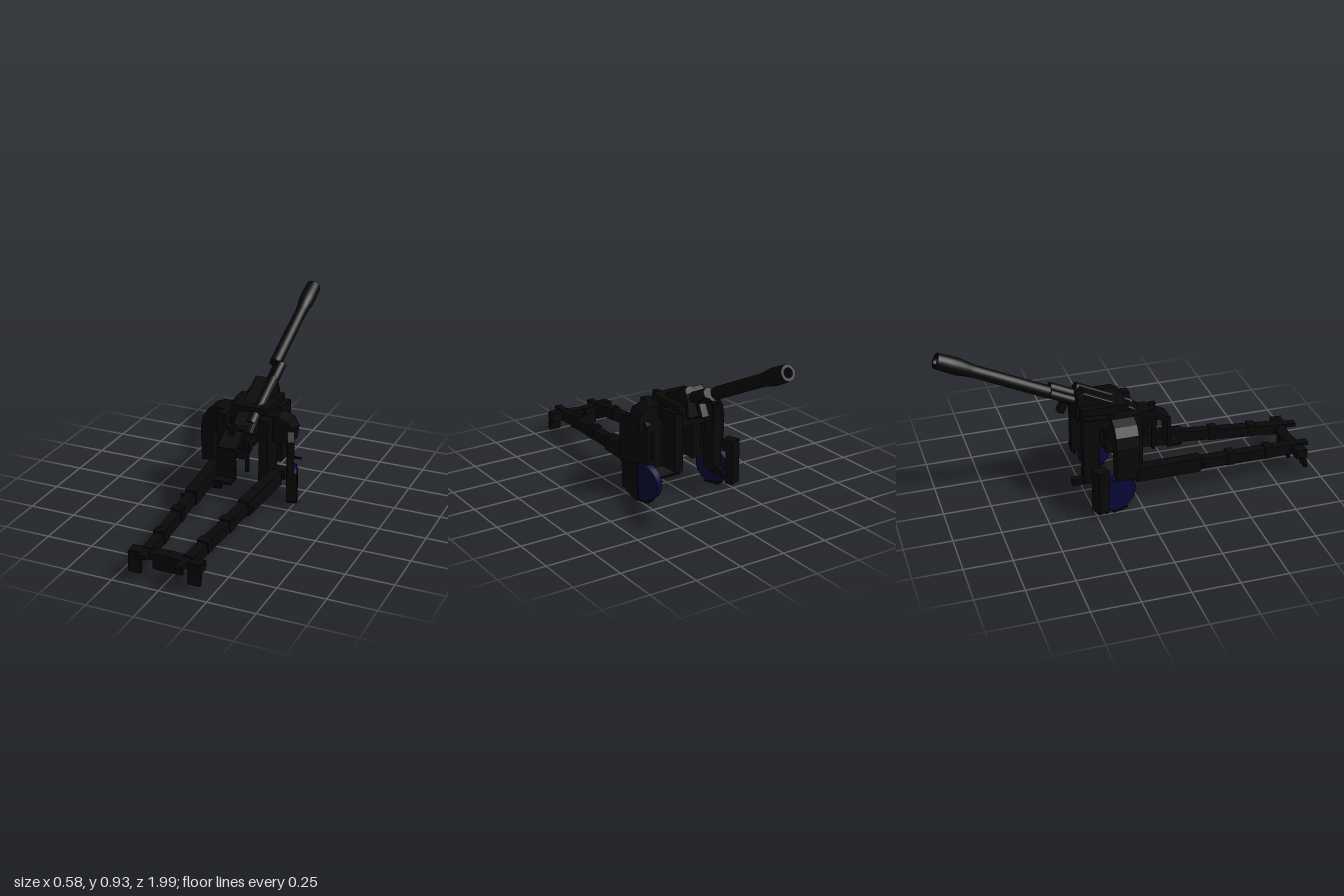
import * as THREE from 'three';

export function createModel() {
  const root = new THREE.Group();
  const steel = new THREE.MeshStandardMaterial({ color: 0x080808, side: THREE.DoubleSide });
  steel.name = 'black steel';
  const blue = new THREE.MeshStandardMaterial({ color: 0x07073a });
  blue.name = 'dark blue';

  const add = (name, geo, mat = steel, parent = root) => {
    const m = new THREE.Mesh(geo, mat);
    m.name = name;
    parent.add(m);
    return m;
  };
  // box given by its limits on each axis
  const box = (name, x0, x1, y0, y1, z0, z1, parent = root) => {
    const m = add(name, new THREE.BoxGeometry(x1 - x0, y1 - y0, z1 - z0), steel, parent);
    m.position.set((x0 + x1) / 2, (y0 + y1) / 2, (z0 + z1) / 2);
    return m;
  };
  // bar of width w and height h between two points
  const beam = (name, a, b, w, h) => {
    const p = new THREE.Vector3(...a), q = new THREE.Vector3(...b);
    const m = add(name, new THREE.BoxGeometry(w, h, p.distanceTo(q)));
    m.position.copy(p).lerp(q, 0.5);
    m.lookAt(q);
    return m;
  };
  const lathe = (pts) => {
    const g = new THREE.LatheGeometry(pts.map((p) => new THREE.Vector2(...p)), 20);
    return g.rotateX(-Math.PI / 2);
  };
  // flat plate cut from an outline
  const plate = (pts, depth) => new THREE.ExtrudeGeometry(
    new THREE.Shape(pts.map((p) => new THREE.Vector2(...p))), { depth, bevelEnabled: false });

  // elevating gun: local -z runs along the barrel
  const gun = new THREE.Group();
  gun.name = 'gun';
  gun.position.set(-0.008, 0.424, 0);
  gun.rotation.x = 0.447;
  root.add(gun);
  add('barrel', lathe([[0, 0.475], [0.033, 0.475], [0.033, 0.475], [0.032, 0.88], [0.036, 0.92],
    [0.043, 0.97], [0.043, 1.02], [0.04, 1.09], [0.04, 1.09], [0.024, 1.09], [0.024, 1.09], [0.022, 1.0], [0, 1.0]]), steel, gun);
  const side = new THREE.Shape([[0.05, -0.05], [0.05, 0.04], [-0.02, 0.054], [-0.31, 0.056], [-0.325, 0.03], [-0.29, -0.08], [-0.1, -0.11]]
    .map(([z, y]) => new THREE.Vector2(-z, y)));
  const cradle = add('cradle', new THREE.ExtrudeGeometry(side, {
    depth: 0.1, bevelEnabled: true, bevelSize: 0.008, bevelThickness: 0.012, bevelSegments: 2 }), steel, gun);
  cradle.rotation.y = Math.PI / 2;
  cradle.position.x = -0.03;
  const tube = (name, x, y, r, s0, s1) => {
    const m = add(name, lathe([[0, s0], [r, s0], [r, s0], [r, s1], [r, s1], [0, s1]]), steel, gun);
    m.position.set(x, y, 0);
  };
  tube('recoilCylinder', 0.04, 0.01, 0.027, 0.2, 0.465);
  tube('recuperator', 0.052, 0.04, 0.03, 0.0, 0.33);
  tube('cradleTube', 0.012, -0.012, 0.024, 0.25, 0.46);
  box('breech', -0.05, 0.05, -0.05, 0.045, 0.02, 0.1, gun);
  box('cradleLug', 0.01, 0.05, -0.1, -0.03, -0.375, -0.34, gun);

  // loading tray and hanging sight brackets behind the breech
  box('breechBlock', -0.06, 0.04, 0.36, 0.46, 0.04, 0.1);
  beam('trayTop', [-0.01, 0.44, 0.09], [-0.01, 0.385, 0.2], 0.1, 0.03);
  box('trayBack', -0.06, 0.04, 0.225, 0.395, 0.192, 0.21);
  box('trayFoot', -0.06, 0.04, 0.222, 0.238, 0.195, 0.265);
  for (const x of [-0.073, 0.065]) {
    box('sightBracket', x - 0.008, x + 0.008, 0.24, 0.4, 0.1, 0.12);
    box('bracketArm', x - 0.012, x + 0.012, 0.38, 0.42, 0.0, 0.125);
  }
  box('sight', -0.03, 0.0, 0.44, 0.48, 0.1, 0.135);

  // upper carriage posts
  box('trunnion', -0.088, 0.112, 0.42, 0.535, -0.28, -0.03);
  for (const s of [-1, 1]) {
    const inner = s * 0.118;
    box('rearPost', inner - 0.026, inner + 0.026, 0.15, 0.5, -0.1, 0.03);
    box('frontPost', inner - 0.024, inner + 0.024, s < 0 ? 0.14 : 0.19, 0.5, -0.288, s < 0 ? -0.2 : -0.165);
    beam('cheekRail', [inner, 0.455, 0.03], [inner, 0.475, -0.28], 0.04, 0.06);
    box('stubAxle', s < 0 ? -0.21 : 0.1, s < 0 ? -0.1 : 0.21, 0.15, 0.2, -0.1, -0.04);
  }
  box('frontFoot', -0.138, -0.105, 0.13, 0.165, -0.345, -0.22);
  box('sideRod', 0.1, 0.215, 0.17, 0.18, -0.275, -0.265);

  // right-hand leg is a straight arch, left-hand leg turns with its wheel
  const rightLeg = add('rightWheelLeg', plate([[-0.09, 0.46], [-0.11, 0.5], [-0.17, 0.505], [-0.22, 0.485], [-0.25, 0.44],
    [-0.262, 0.38], [-0.258, 0.19], [-0.195, 0.19], [-0.195, 0.365], [-0.14, 0.365], [-0.09, 0.38]], 0.12));
  rightLeg.position.z = -0.145;
  const arm = add('leftWheelArm', plate([[0.09, 0.38], [0.14, 0.365], [0.245, 0.365], [0.255, 0.44],
    [0.23, 0.485], [0.175, 0.505], [0.11, 0.5], [0.09, 0.46]], 0.1));
  arm.position.z = -0.13;
  const columnGeo = plate([[-0.085, 0.19], [0.085, 0.19], [0.085, 0.4], [0.055, 0.445], [-0.055, 0.455], [-0.085, 0.41]], 0.036);
  const column = add('leftWheelColumn', columnGeo.translate(0, 0, -0.018));
  column.rotation.y = -Math.PI / 2 + 0.4;
  column.position.set(0.234, 0, -0.062);

  // steered wheels
  const wheelUnit = (x) => {
    const hub = new THREE.Group();
    hub.name = 'wheelUnit';
    hub.position.set(x, 0.102, -0.125);
    hub.rotation.y = 0.36;
    root.add(hub);
    const wheel = add('wheel', new THREE.CylinderGeometry(0.1, 0.1, 0.042, 28), blue, hub);
    wheel.rotation.z = Math.PI / 2;
    const skid = add('skid', new THREE.BoxGeometry(0.05, 0.008, 0.09), steel, hub);
    skid.position.y = -0.098;
    return hub;
  };
  const leftHub = wheelUnit(0.222);
  const guard = add('wheelGuard', plate([[0.022, -0.1], [0.06, -0.09], [0.1, -0.05], [0.112, 0.02], [0.1, 0.1],
    [0.022, 0.1]], 0.008).rotateY(-Math.PI / 2), steel, leftHub);
  guard.position.x = 0.029;
  box('guardEnd', -0.03, 0.024, -0.05, 0.1, 0.098, 0.125, leftHub);
  const rightHub = wheelUnit(-0.212);
  box('guardBox', -0.03, 0.036, -0.075, 0.165, -0.14, -0.098, rightHub);
  box('guardFlange', -0.03, -0.021, -0.085, 0.165, -0.1, -0.075, rightHub);
  box('guardTop', -0.03, 0.03, 0.1, 0.165, -0.1, -0.07, rightHub);

  // split trails with clamps and a spade at each end
  for (const s of [-1, 1]) {
    const at = (t, dy = 0) => [s * (0.168 - 0.062 * t), 0.168 - 0.044 * t + dy, 0.03 + 0.88 * t];
    beam('trailRoot', at(-0.06), at(0.35), 0.06, 0.08);
    beam('trail', at(0.3), at(0.98), 0.05, 0.058);
    beam('trailTip', at(0.9, 0.012), at(s < 0 ? 1.07 : 1.088, 0.018), 0.04, 0.02);
    for (const t of [0.33, 0.55, 0.8]) {
      beam('clamp', at(t - 0.025, 0.005), at(t + 0.025, 0.005), 0.06, 0.076 - 0.012 * t);
    }
    box('trailPin', s * 0.17 - 0.03, s * 0.17 + 0.03, 0.15, 0.17, 0.34, 0.35);
    const x = s * 0.157;
    box('spadeBlock', x - 0.033, x + 0.033, 0.095, 0.14, 0.88, 0.94);
    const spade = box('spade', x - 0.033, x + 0.033, 0.035, 0.12, 0.92, 0.94);
    spade.rotation.x = -0.15;
    beam('tieBar', [s * 0.19, 0.128, 0.91], [0, 0.125, 0.885], 0.06, 0.035);
  }
  box('middleSpade', -0.085, 0.072, 0.04, 0.125, 0.875, 0.89);
  return root;
}
